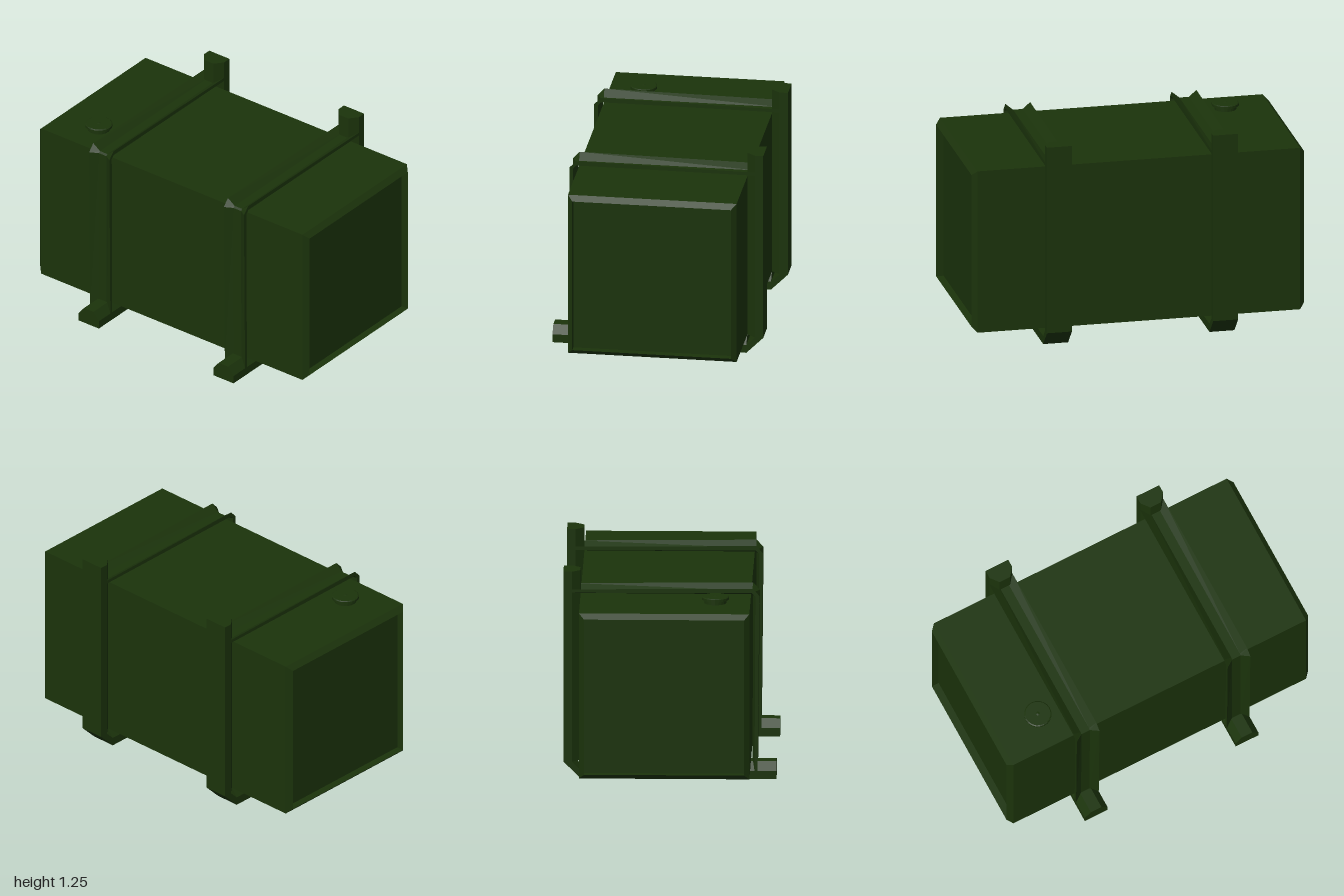
import * as THREE from 'three';

const material = new THREE.MeshStandardMaterial({ color: 0x1b330b });

// Joins rings of equal point count into a closed, flat-faceted solid.
function loft(rings) {
  const pos = [];
  const tri = (...pts) => pts.forEach((p) => pos.push(...p));
  rings.slice(1).forEach((next, k) => {
    const ring = rings[k];
    ring.forEach((p, i) => {
      const j = (i + 1) % ring.length;
      tri(p, ring[j], next[j]);
      tri(p, next[j], next[i]);
    });
  });
  const first = rings[0], last = rings[rings.length - 1];
  for (let i = 1; i < first.length - 1; i++) {
    tri(first[0], first[i + 1], first[i]);
    tri(last[0], last[i], last[i + 1]);
  }
  const g = new THREE.BufferGeometry();
  g.setAttribute('position', new THREE.Float32BufferAttribute(pos, 3));
  g.computeVertexNormals();
  return g;
}

// Sweeps a section of [height 0..1, x] points along stations [z, y, z, y],
// each giving the base and the top of the section.
function bar(section, stations) {
  return loft(stations.map(([z0, y0, z1, y1]) =>
    section.map(([t, x]) => [x, y0 + (y1 - y0) * t, z0 + (z1 - z0) * t])));
}

function add(parent, name, geometry) {
  const mesh = new THREE.Mesh(geometry, material);
  mesh.name = name;
  parent.add(mesh);
  return mesh;
}

export function createModel() {
  const model = new THREE.Group();
  model.name = 'fuelTank';

  // Tank body with chamfered rims and recessed end panels
  const tankRing = (x, inset) => {
    const y0 = 0.1 + inset, y1 = 1.1 - inset, z0 = -0.525 + inset, z1 = 0.475 - inset;
    return [[x, y0, z0], [x, y1, z0], [x, y1, z1], [x, y0, z1]];
  };
  add(model, 'tankBody', loft([
    tankRing(-0.955, 0.03), tankRing(-1, 0.03), tankRing(-0.97, 0),
    tankRing(0.97, 0), tankRing(1, 0.03), tankRing(0.955, 0.03),
  ]));

  // Filler neck and cap
  const capProfile = [[0, 0], [0.065, 0], [0.065, 0.02], [0.08, 0.022], [0.08, 0.036], [0.074, 0.04], [0.012, 0.04], [0, 0.043]]
    .map(([r, y]) => new THREE.Vector2(r, y));
  const capGeometry = new THREE.LatheGeometry(capProfile, 20).toNonIndexed();
  capGeometry.computeVertexNormals();
  add(model, 'fillerCap', capGeometry).position.set(-0.7, 1.1, 0.27);

  // Cross-sections: flat plate, tapered ridge, and channel with flared wings
  const w = 0.075;
  const plate = [[0, -w], [1, -w], [1, w], [0, w]];
  const ridge = [[0, -w], [1, -0.035], [1, 0.035], [0, w]];
  const channel = [[0, -0.028], [0.4, -w], [1, -w], [0.15, -0.028], [0.15, 0.028], [1, w], [0.4, w], [0, 0.028]];

  // Two L-shaped brackets, each with a retaining strap
  for (const [side, x] of [['left', 0.5], ['right', -0.5]]) {
    const mount = new THREE.Group();
    mount.name = side + 'Mount';
    mount.position.x = x;
    add(mount, 'bracketPlate', bar(plate, [
      [0.625, 0, 0.625, 0.05],
      [-0.525, 0, -0.525, 0.05],
      [-0.625, 0.1, -0.575, 0.1],
      [-0.625, 1.25, -0.575, 1.25],
    ]));
    add(mount, 'bracketFootRidge', bar(ridge, [
      [0.625, 0.05, 0.625, 0.1],
      [-0.525, 0.05, -0.525, 0.1],
    ]));
    add(mount, 'bracketUprightRidge', bar(ridge, [
      [-0.575, 0.1, -0.525, 0.1],
      [-0.575, 1.25, -0.525, 1.25],
    ]));
    add(mount, 'strap', bar(channel, [
      [0.485, 0.05, 0.515, 0.05],
      [0.486, 1.104, 0.525, 1.11],
      [0.481, 1.108, 0.485, 1.153],
      [-0.575, 1.11, -0.575, 1.143],
    ]));
    model.add(mount);
  }
  return model;
}
